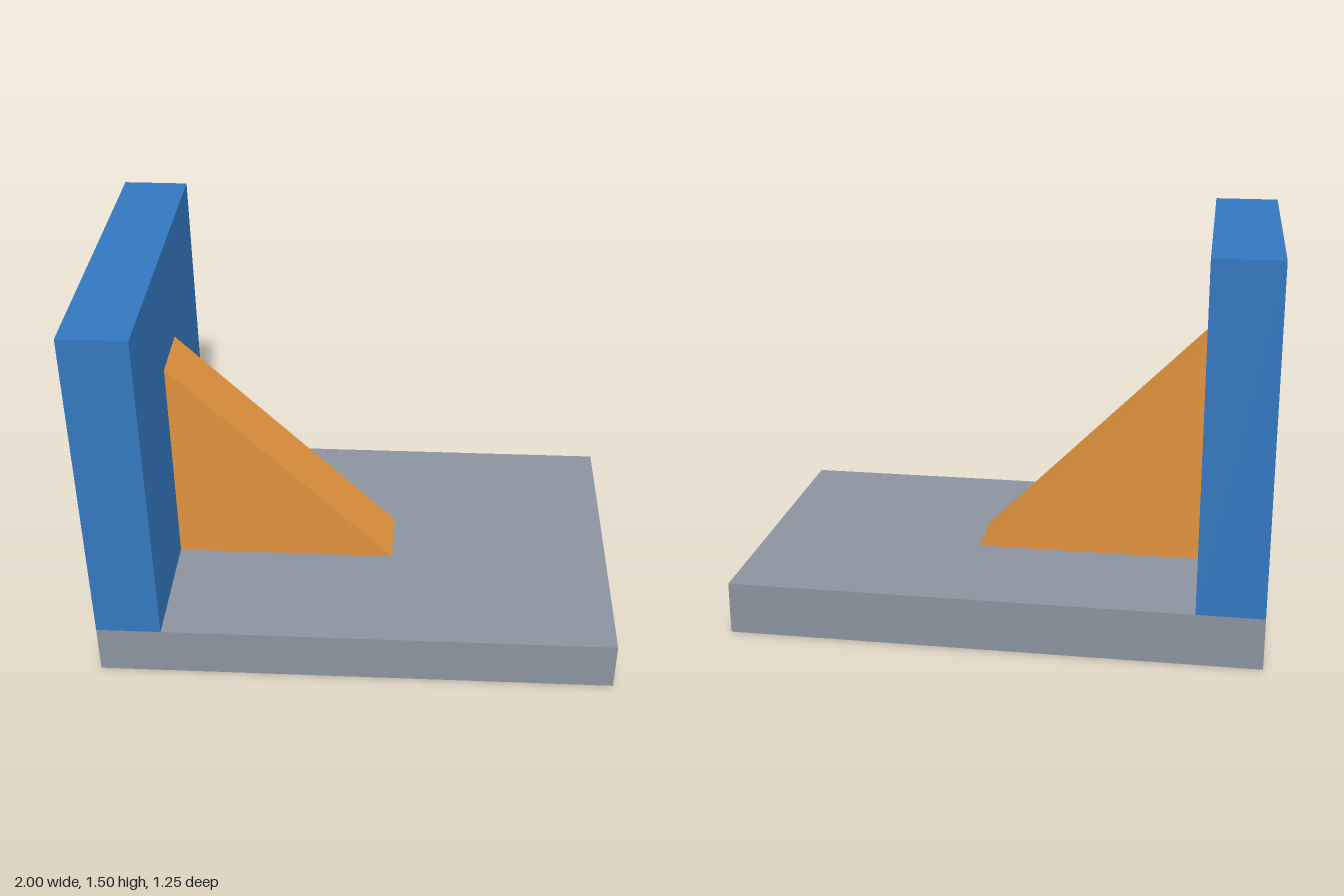
import * as THREE from 'three';

const DEPTH = 1.25;
const BASE_H = 0.2;
const WALL_X = -0.75; // inner face of the wall

function addPart(group, name, geometry, color, x = 0, y = 0, z = 0) {
  const mesh = new THREE.Mesh(geometry, new THREE.MeshStandardMaterial({ color }));
  mesh.name = name;
  mesh.position.set(x, y, z);
  group.add(mesh);
}

export function createModel() {
  const group = new THREE.Group();
  group.name = 'gussetedBracket';

  // Flat base plate
  addPart(group, 'basePlate', new THREE.BoxGeometry(2, BASE_H, DEPTH), 0x8c939f, 0, BASE_H / 2, 0);

  // Upright wall along the -x edge
  addPart(group, 'uprightWall', new THREE.BoxGeometry(0.25, 1.3, DEPTH), 0x3377bf, -0.875, BASE_H + 0.65, 0);

  // Triangular rib bracing the wall against the base
  const leg = 0.875, thickness = 0.25;
  const triangle = new THREE.Shape([
    new THREE.Vector2(0, 0),
    new THREE.Vector2(leg, 0),
    new THREE.Vector2(0, leg),
  ]);
  const rib = new THREE.ExtrudeGeometry(triangle, { depth: thickness, bevelEnabled: false });
  addPart(group, 'supportRib', rib, 0xe0923d, WALL_X, BASE_H, -thickness / 2);

  return group;
}
